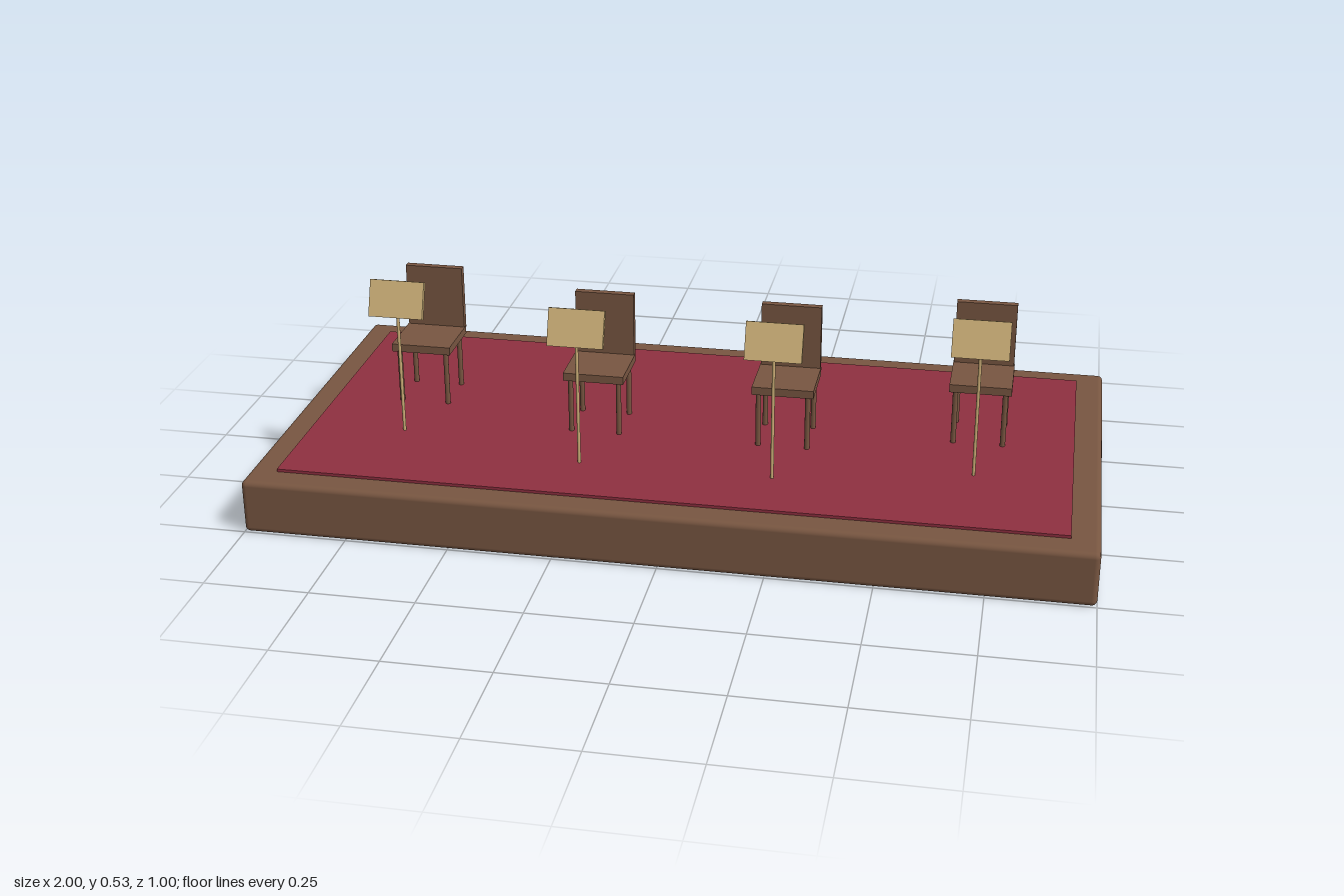
import * as THREE from 'three';
import { RoundedBoxGeometry } from 'three/addons/geometries/RoundedBoxGeometry.js';

const wood = new THREE.MeshStandardMaterial({ color: 0x785641 });
const red = new THREE.MeshStandardMaterial({ color: 0x8f3040 });
const brass = new THREE.MeshStandardMaterial({ color: 0xcdb078 });

const FLOOR = 0.14;

function add(parent, name, geometry, material, x, y, z) {
  const mesh = new THREE.Mesh(geometry, material);
  mesh.name = name;
  mesh.position.set(x, y, z);
  parent.add(mesh);
  return mesh;
}

// Chair: seat, upright back and four round legs
function createChair() {
  const chair = new THREE.Group();
  chair.name = 'chair';
  add(chair, 'seat', new THREE.BoxGeometry(0.15, 0.02, 0.15), wood, 0, 0.289, 0);
  add(chair, 'backrest', new THREE.BoxGeometry(0.147, 0.166, 0.018), wood, 0, 0.376, -0.074);
  const legHeight = 0.281 - FLOOR;
  for (const x of [-0.06, 0.06]) {
    for (const z of [-0.06, 0.06]) {
      add(chair, 'chairLeg', new THREE.CylinderGeometry(0.0065, 0.0065, legHeight, 12), wood,
        x, FLOOR + legHeight / 2, z);
    }
  }
  return chair;
}

// Music stand: thin pole with a tilted desk
function createStand() {
  const stand = new THREE.Group();
  stand.name = 'musicStand';
  const height = 0.468 - FLOOR;
  add(stand, 'standPole', new THREE.CylinderGeometry(0.004, 0.004, height, 12), brass,
    0, FLOOR + height / 2, 0);
  const desk = add(stand, 'standDesk', new THREE.BoxGeometry(0.134, 0.09, 0.0125), brass, 0, 0.487, 0);
  desk.rotation.x = -0.35;
  return stand;
}

export function createModel() {
  const model = new THREE.Group();
  model.name = 'quartetStage';

  // Platform with softened edges and a carpet on top
  add(model, 'platform', new RoundedBoxGeometry(2, 0.133, 1, 3, 0.013), wood, 0, 0.0665, 0);
  add(model, 'carpet', new THREE.BoxGeometry(1.866, 0.014, 0.866), red, 0, 0.133, 0);

  // Four seats in a shallow arc, inner pair further forward
  for (const [x, z] of [[-0.7, 0], [-0.233, 0.1], [0.233, 0.1], [0.7, 0]]) {
    const chair = createChair();
    chair.position.set(x, 0, z - 0.065);
    const stand = createStand();
    stand.position.set(x, 0, z + 0.168);
    model.add(chair, stand);
  }
  return model;
}
